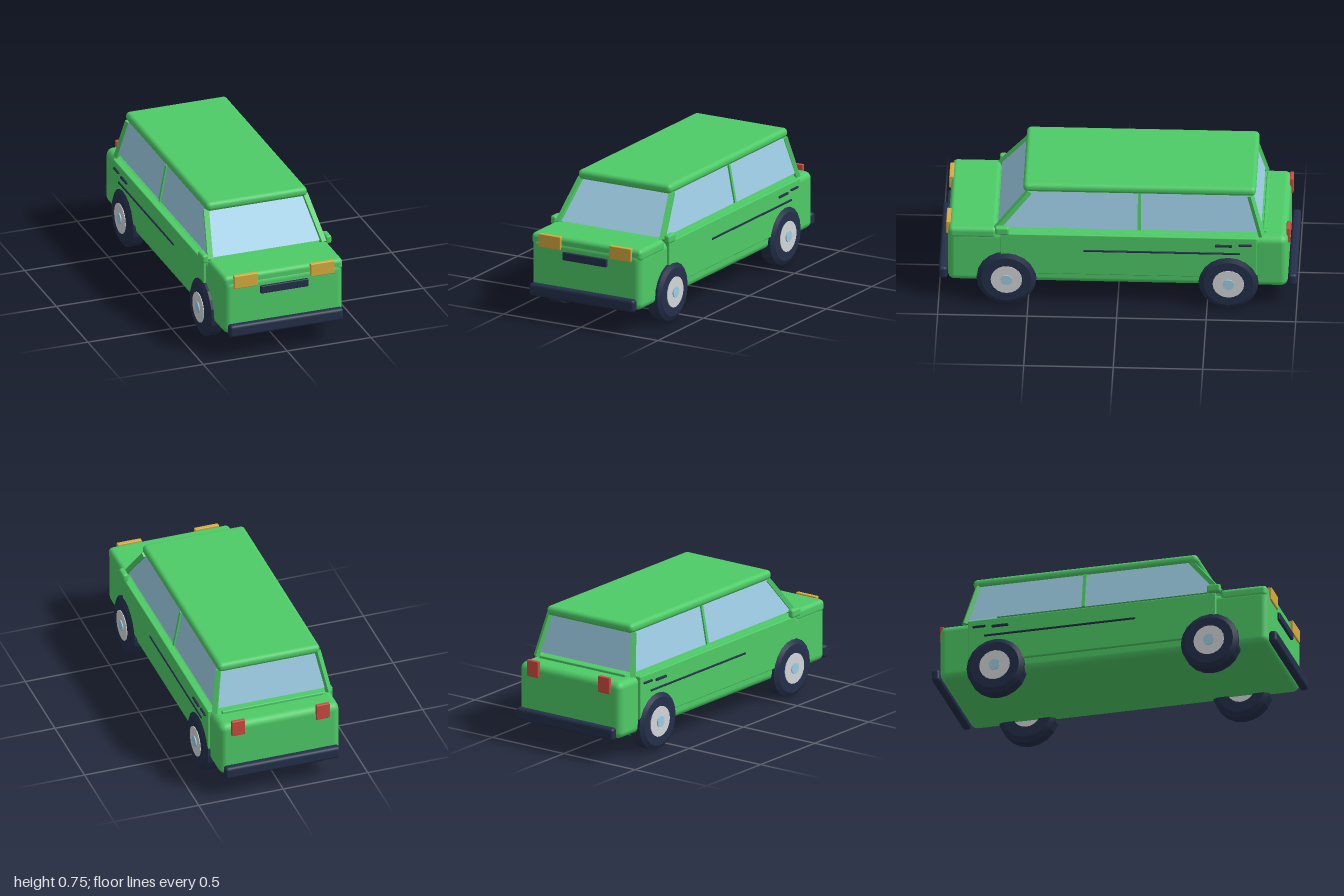
import * as THREE from 'three';
import { toCreasedNormals } from 'three/addons/utils/BufferGeometryUtils.js';
import { RoundedBoxGeometry } from 'three/addons/geometries/RoundedBoxGeometry.js';

const paint = (name, color) => new THREE.MeshStandardMaterial({ name, color });

export function createModel() {
  const car = new THREE.Group();
  car.name = 'car';
  const green = paint('greenPaint', 0x4ecb67);
  const dark = paint('darkRubber', 0x242f4a);
  const glass = paint('blueGlass', 0x9dcde5);
  glass.side = THREE.DoubleSide;
  const amber = paint('amberLamp', 0xd8ab3e);
  const red = paint('redLamp', 0xcf4a42);
  const silver = paint('silverRim', 0xd3d6d8);

  const add = (name, geometry, material) => {
    const mesh = new THREE.Mesh(geometry, material);
    mesh.name = name;
    car.add(mesh);
    return mesh;
  };
  // Rounded box given by its extents on each axis
  const box = (name, mat, [x0, x1], [y0, y1], [z0, z1], r) => {
    const g = new RoundedBoxGeometry(x1 - x0, y1 - y0, z1 - z0, 3, r);
    add(name, g, mat).position.set((x0 + x1) / 2, (y0 + y1) / 2, (z0 + z1) / 2);
  };
  // Square bar between two points
  const bar = (name, a, b, w, d) => {
    const from = new THREE.Vector3(...a), to = new THREE.Vector3(...b);
    const mesh = add(name, new THREE.BoxGeometry(w, d, from.distanceTo(to)), green);
    mesh.position.copy(from).lerp(to, 0.5);
    mesh.lookAt(to);
  };
  // Four-cornered pane
  const pane = (name, a, b, c, d) => {
    const g = new THREE.BufferGeometry();
    g.setAttribute('position', new THREE.Float32BufferAttribute([...a, ...b, ...c, ...d], 3));
    g.setIndex([0, 1, 2, 0, 2, 3]);
    g.computeVertexNormals();
    add(name, g, glass);
  };

  // Bodywork
  box('body', green, [-0.355, 0.355], [0.13, 0.46], [-0.95, 0.95], 0.04);
  box('hood', green, [-0.357, 0.357], [0.415, 0.485], [0.675, 0.945], 0.025);
  box('roof', green, [-0.302, 0.302], [0.695, 0.75], [-0.77, 0.53], 0.025);
  box('rearSill', green, [-0.30, 0.30], [0.45, 0.475], [-0.83, -0.81], 0.006);
  box('grille', dark, [-0.142, 0.142], [0.36, 0.406], [0.94, 0.965], 0.005);
  box('frontBumper', dark, [-0.34, 0.34], [0.132, 0.205], [0.952, 1.0], 0.018);
  box('rearBumper', dark, [-0.34, 0.34], [0.132, 0.205], [-1.0, -0.952], 0.018);

  // Cabin corners: bottom and top, front and rear
  const bf = s => [s * 0.335, 0.485, 0.67], tf = s => [s * 0.293, 0.70, 0.495];
  const br = s => [s * 0.335, 0.485, -0.80], tr = s => [s * 0.293, 0.70, -0.74];
  pane('windshield', bf(-1), bf(1), tf(1), tf(-1));
  pane('rearWindow', br(1), br(-1), tr(-1), tr(1));
  pane('leftWindows', bf(1), br(1), tr(1), tf(1));
  pane('rightWindows', br(-1), bf(-1), tf(-1), tr(-1));

  // Tyre section, revolved around the axle
  const tyreGeo = () => {
    const section = [[0.08, -0.05], [0.14, -0.05], [0.167, -0.034], [0.167, 0.034], [0.14, 0.05], [0.08, 0.05]];
    const g = new THREE.LatheGeometry(section.map(p => new THREE.Vector2(...p)), 20);
    return toCreasedNormals(g.rotateZ(-Math.PI / 2), 0.2);
  };
  const disc = (r, w) => new THREE.CylinderGeometry(r, r, w, 20).rotateZ(Math.PI / 2);

  for (const s of [1, -1]) {
    const side = s > 0 ? 'left' : 'right';
    const span = (a, b) => (s > 0 ? [a, b] : [-b, -a]);
    // Door panel, trim and mirror
    box(side + 'DoorPanel', green, span(0.33, 0.37), [0.2, 0.462], [-0.78, 0.655], 0.006);
    box(side + 'TrimStrip', dark, span(0.365, 0.376), [0.355, 0.366], [-0.685, 0.19], 0.003);
    box(side + 'DoorHandle', dark, span(0.365, 0.38), [0.405, 0.419], [-0.64, -0.545], 0.004);
    box(side + 'FuelLatch', dark, span(0.365, 0.38), [0.413, 0.425], [-0.75, -0.675], 0.004);
    box(side + 'Mirror', green, span(0.35, 0.386), [0.46, 0.51], [0.605, 0.685], 0.013);
    // Lamps
    box(side + 'Headlight', amber, span(0.157, 0.30), [0.412, 0.49], [0.935, 0.96], 0.005);
    box(side + 'TailLight', red, span(0.21, 0.29), [0.39, 0.485], [-0.962, -0.94], 0.005);
    // Pillars
    bar(side + 'FrontPillar', [s * 0.337, 0.475, 0.678], tf(s), 0.03, 0.026);
    bar(side + 'MiddlePillar', [s * 0.335, 0.485, -0.12], [s * 0.294, 0.70, -0.12], 0.018, 0.018);
    bar(side + 'RearPillar', [s * 0.337, 0.46, -0.806], tr(s), 0.03, 0.024);
    // Wheels
    for (const z of [0.62, -0.62]) {
      const label = side + (z > 0 ? 'Front' : 'Rear');
      add(label + 'Tyre', tyreGeo(), dark).position.set(s * 0.335, 0.167, z);
      add(label + 'Rim', disc(0.088, 0.09), silver).position.set(s * 0.344, 0.167, z);
      add(label + 'Hub', disc(0.032, 0.09), glass).position.set(s * 0.35, 0.167, z);
    }
  }
  return car;
}
